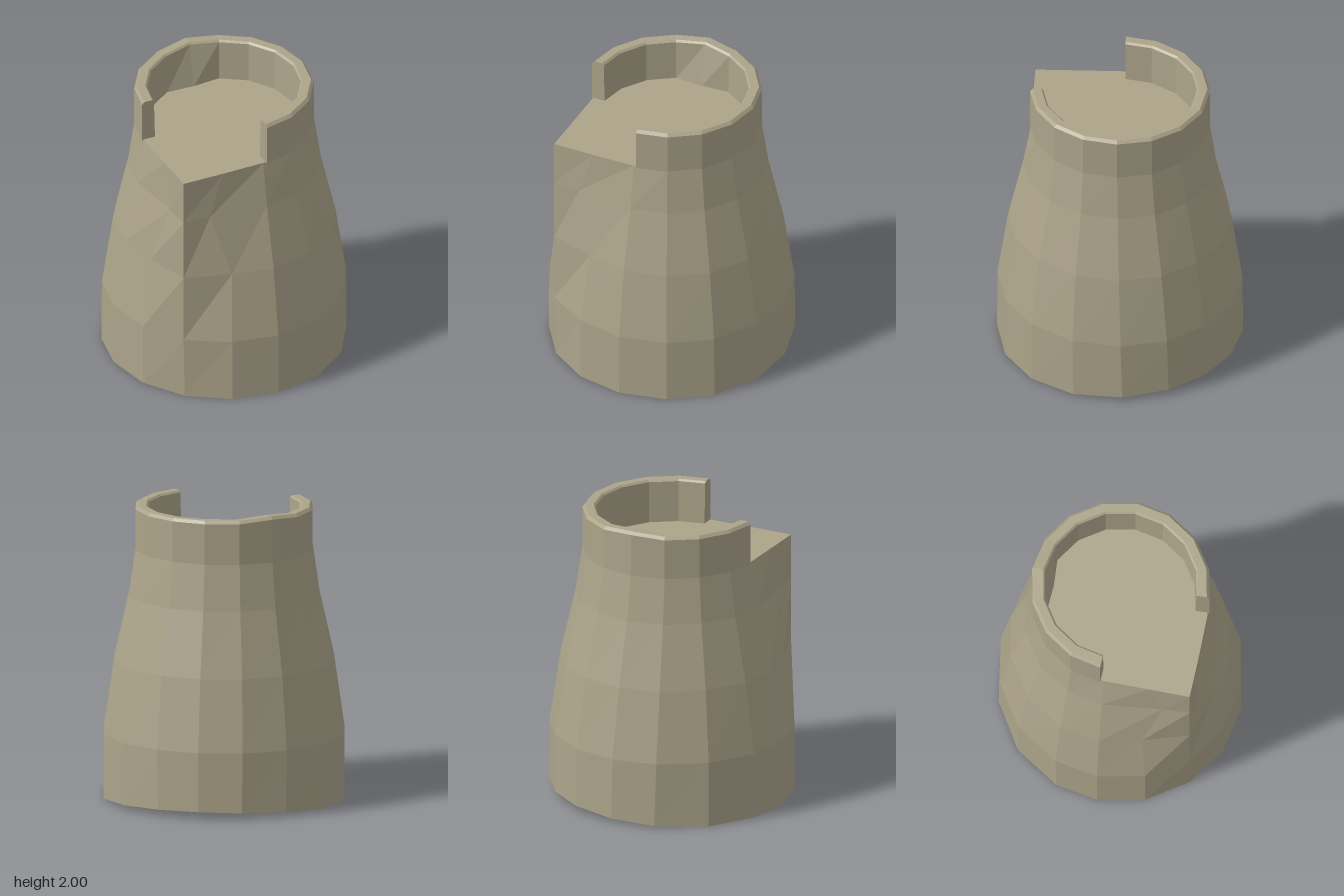
import * as THREE from 'three';

const SIDES = 16;
const material = new THREE.MeshStandardMaterial({
  color: 0xaca48a, flatShading: true, side: THREE.DoubleSide,
});

const polar = (r, deg, y) => {
  const a = THREE.MathUtils.degToRad(deg);
  return [r * Math.sin(a), y, r * Math.cos(a)];
};

// Skin between rows of points; wrap joins the last column to the first
function loft(rows, wrap, out = []) {
  for (let i = 0; i + 1 < rows.length; i++) {
    const n = rows[i].length;
    for (let k = 0; k < (wrap ? n : n - 1); k++) {
      const m = (k + 1) % n;
      const a = rows[i][k], b = rows[i][m], c = rows[i + 1][m], d = rows[i + 1][k];
      out.push(...a, ...b, ...c, ...a, ...c, ...d);
    }
  }
  return out;
}

// Flat convex cap
function fan(points, out = []) {
  for (let k = 1; k + 1 < points.length; k++) out.push(...points[0], ...points[k], ...points[k + 1]);
  return out;
}

function mesh(name, positions) {
  const g = new THREE.BufferGeometry();
  g.setAttribute('position', new THREE.Float32BufferAttribute(positions, 3));
  g.computeVertexNormals();
  const m = new THREE.Mesh(g, material);
  m.name = name;
  return m;
}

export function createModel() {
  const group = new THREE.Group();
  group.name = 'socketedSleeve';

  // Body rings: height, radius, and the side offset of the points beside the square corner
  const rings = [
    { y: 0, r: 0.82 },
    { y: 0.45, r: 0.818 },
    { y: 0.94, r: 0.745, side: [0.28, 0.685] },
    { y: 1.38, r: 0.645, side: [0.4, 0.6] },
    { y: 1.69, r: 0.6, side: [0.3, 0.59] },
  ];
  // Slight unevenness of the spacing round the foot, in degrees
  const drift = [0, 0.5, 0.7, 2.1, 2.8, 2.5, 0.5, -1.7, -2.4, -3.6, -0.5, 2.1, 0, 0, 0, 0];

  const rows = rings.map(({ y, r, side }) => {
    const row = [];
    const fade = Math.max(0, 1 - y / 1.69);
    for (let k = 0; k < SIDES; k++) {
      // the lower rim lifts a little at one side
      const lift = y === 0 ? 0.05 * Math.max(0, Math.cos((k - 6) * Math.PI / 8)) ** 1.5 : 0;
      row.push(polar(r, k * 22.5 + drift[k] * fade, y + lift));
    }
    // square corner growing out of the round body
    if (y > 0) row[14] = [-0.59, y, 0.585];
    if (side) {
      row[13] = [-side[1], y, side[0]];
      row[15] = [-side[0], y, side[1]];
    }
    if (y > 1.5) {
      row[12] = [-0.59, y, 0];
      row[0] = [0, y, 0.59];
    }
    return row;
  });
  group.add(mesh('body', loft(rows, true)));

  // Flat floor inside the collar, running out over the corner
  group.add(mesh('floor', fan(rows[rows.length - 1])));

  // Three-quarter collar with bevelled rim
  const profile = [[0.6, 1.685], [0.6, 1.965], [0.582, 1.985], [0.525, 1.985], [0.512, 1.972], [0.505, 1.685]];
  const collarRows = profile.map(([r, y], i) => {
    const row = [];
    for (let k = 0; k <= 12; k++) {
      const deg = k === 0 ? 2 : k === 12 ? 268 : k * 22.5;
      const back = k === 8;
      const radius = back && i === 5 ? 0.455 : r;
      row.push(polar(radius, deg, y + (back && i > 0 && i < 5 ? 0.015 : 0)));
    }
    return row;
  });
  const collar = loft([...collarRows, collarRows[0]], false);
  fan(collarRows.map(row => row[0]).reverse(), collar);
  fan(collarRows.map(row => row[12]), collar);
  group.add(mesh('collar', collar));

  return group;
}
